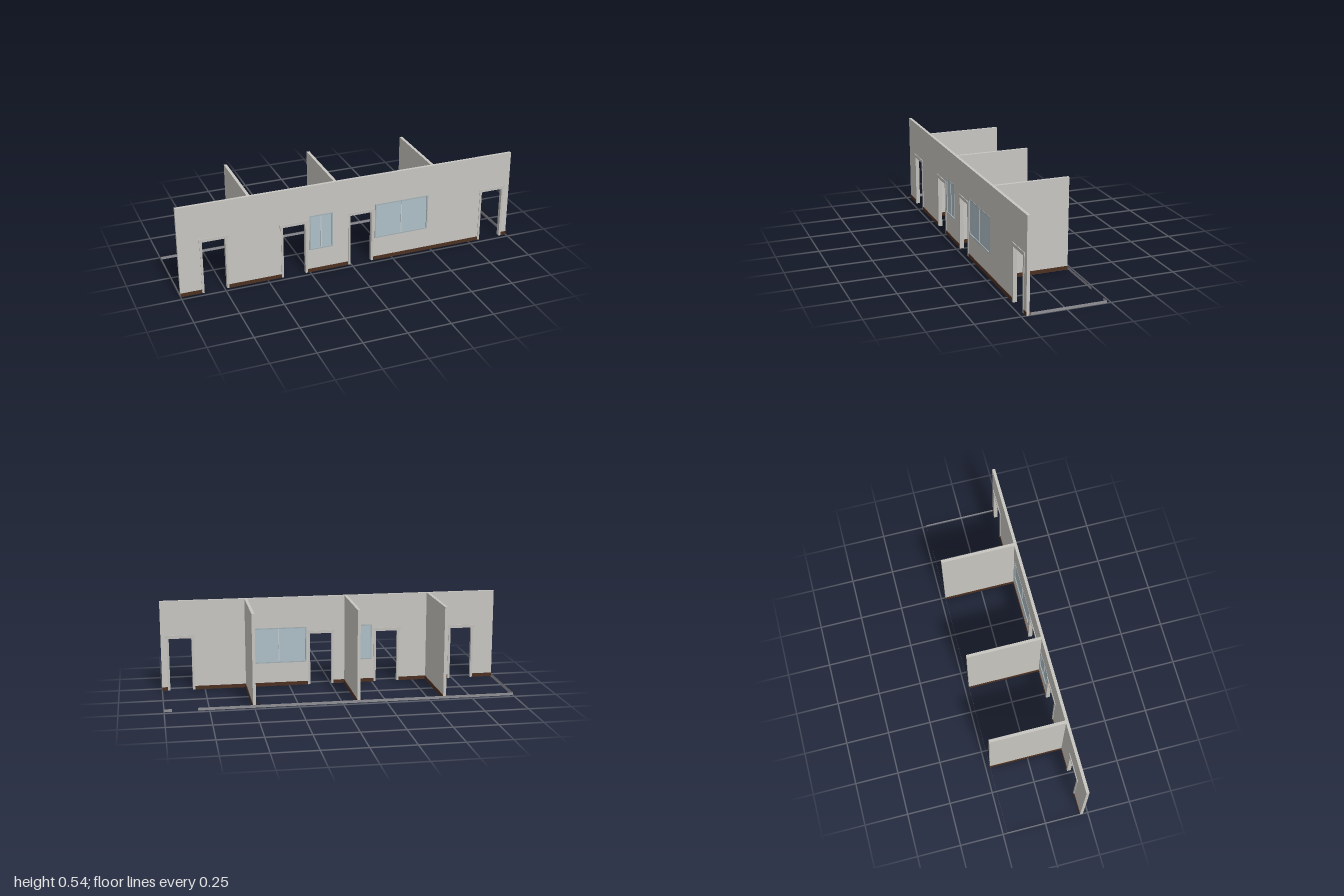
import * as THREE from 'three';

const mat = (name, color, extra = {}) => {
  const m = new THREE.MeshStandardMaterial({ color, ...extra });
  m.name = name;
  return m;
};

export function createModel() {
  const plaster = mat('plaster', 0xc8c6c1);
  const trim = mat('door trim', 0xc2c0bb);
  const glass = mat('window glass', 0xaec0c8);
  const frame = mat('window frame', 0xa3b0b5);
  const mullionGrey = mat('mullion', 0xc4ccce);
  const brown = mat('baseboard brown', 0x4c3021);
  const railGrey = mat('floor rail grey', 0x8f9096, { side: THREE.DoubleSide });

  const H = 0.535, Z0 = 0.205, Z1 = 0.222, BACK = -0.224;
  const doorTop = 0.315, baseH = 0.021, baseT = 0.0035;
  const doors = [[-0.866, -0.735], [-0.406, -0.275], [-0.006, 0.124], [0.821, 0.954]];
  const windows = [[-0.25, -0.11], [0.145, 0.475]];
  const sill = 0.14, head = 0.353;
  const partitions = [-0.592, -0.092, 0.5];

  const model = new THREE.Group();
  model.name = 'roomRow';

  // Box given by its two corners
  const box = (name, material, x0, x1, y0, y1, z0, z1, parent = model) => {
    const mesh = new THREE.Mesh(new THREE.BoxGeometry(x1 - x0, y1 - y0, z1 - z0), material);
    mesh.position.set((x0 + x1) / 2, (y0 + y1) / 2, (z0 + z1) / 2);
    mesh.name = name;
    parent.add(mesh);
    return mesh;
  };

  // Front wall: outline notched by doors, pierced by windows
  const outline = new THREE.Shape();
  outline.moveTo(-1, 0);
  for (const [a, b] of doors) {
    outline.lineTo(a, 0);
    outline.lineTo(a, doorTop);
    outline.lineTo(b, doorTop);
    outline.lineTo(b, 0);
  }
  outline.lineTo(1, 0);
  outline.lineTo(1, H);
  outline.lineTo(-1, H);
  outline.closePath();
  for (const [a, b] of windows) {
    const hole = new THREE.Path();
    hole.moveTo(a, sill);
    hole.lineTo(a, head);
    hole.lineTo(b, head);
    hole.lineTo(b, sill);
    hole.closePath();
    outline.holes.push(hole);
  }
  const wall = new THREE.Mesh(
    new THREE.ExtrudeGeometry(outline, { depth: Z1 - Z0, bevelEnabled: false }), plaster);
  wall.position.z = Z0;
  wall.name = 'frontWall';
  model.add(wall);

  // Door casings: two jambs and a wider header
  for (const [a, b] of doors) {
    const g = new THREE.Group();
    g.name = 'doorCasing';
    const z0 = Z0 - 0.003, z1 = Z1 + 0.003;
    box('leftJamb', trim, a - 0.012, a + 0.001, 0, doorTop, z0, z1, g);
    box('rightJamb', trim, b - 0.001, b + 0.012, 0, doorTop, z0, z1, g);
    box('doorHeader', trim, a - 0.018, b + 0.018, doorTop - 0.004, 0.33, z0 - 0.001, z1 + 0.001, g);
    model.add(g);
  }

  // Windows: pane, frame bars and centre mullion
  for (const [a, b] of windows) {
    const g = new THREE.Group();
    g.name = 'window';
    const t = 0.007, z0 = Z0 - 0.002, z1 = Z1 + 0.002, mid = (a + b) / 2;
    box('pane', glass, a, b, sill, head, Z0 + 0.004, Z1 - 0.004, g);
    box('frameLeft', frame, a, a + t, sill, head, z0, z1, g);
    box('frameRight', frame, b - t, b, sill, head, z0, z1, g);
    box('frameBottom', frame, a + t, b - t, sill, sill + t, z0, z1, g);
    box('frameTop', frame, a + t, b - t, head - t, head, z0, z1, g);
    box('mullion', mullionGrey, mid - 0.003, mid + 0.003, sill + t, head - t, Z0 + 0.001, Z1 - 0.001, g);
    model.add(g);
  }

  // Baseboards on both faces of the front wall, between the doors
  const gap = 0.013;
  const starts = [-1, ...doors.map(d => d[1] + gap)];
  const ends = [...doors.map(d => d[0] - gap), 1];
  starts.forEach((s, i) => {
    box('frontBaseboard', brown, s, ends[i], 0, baseH, Z1, Z1 + baseT);
    box('innerBaseboard', brown, s, ends[i], 0, baseH, Z0 - baseT, Z0);
  });

  // Partition walls with a baseboard on each side
  for (const x of partitions) {
    const w = 0.0085;
    box('partition', plaster, x - w, x + w, 0, H, BACK, Z0);
    box('partitionBaseboard', brown, x - w - baseT, x - w, 0, baseH, BACK, Z0);
    box('partitionBaseboard', brown, x + w, x + w + baseT, 0, baseH, BACK, Z0);
  }

  // Thin upright rails along the ends and the open back
  const rail = (name, x0, z0, x1, z1) => {
    const mesh = new THREE.Mesh(
      new THREE.PlaneGeometry(Math.hypot(x1 - x0, z1 - z0), 0.016), railGrey);
    mesh.position.set((x0 + x1) / 2, 0.008, (z0 + z1) / 2);
    mesh.rotation.y = -Math.atan2(z1 - z0, x1 - x0);
    mesh.name = name;
    model.add(mesh);
  };
  const railZ = BACK - 0.001;
  rail('backRail', 0.815, railZ, -1, railZ);
  rail('backRailEnd', 1, railZ, 0.957, railZ);
  rail('leftRail', 1, Z0, 1, railZ);
  rail('rightRail', -1, railZ, -1, Z0);

  return model;
}
